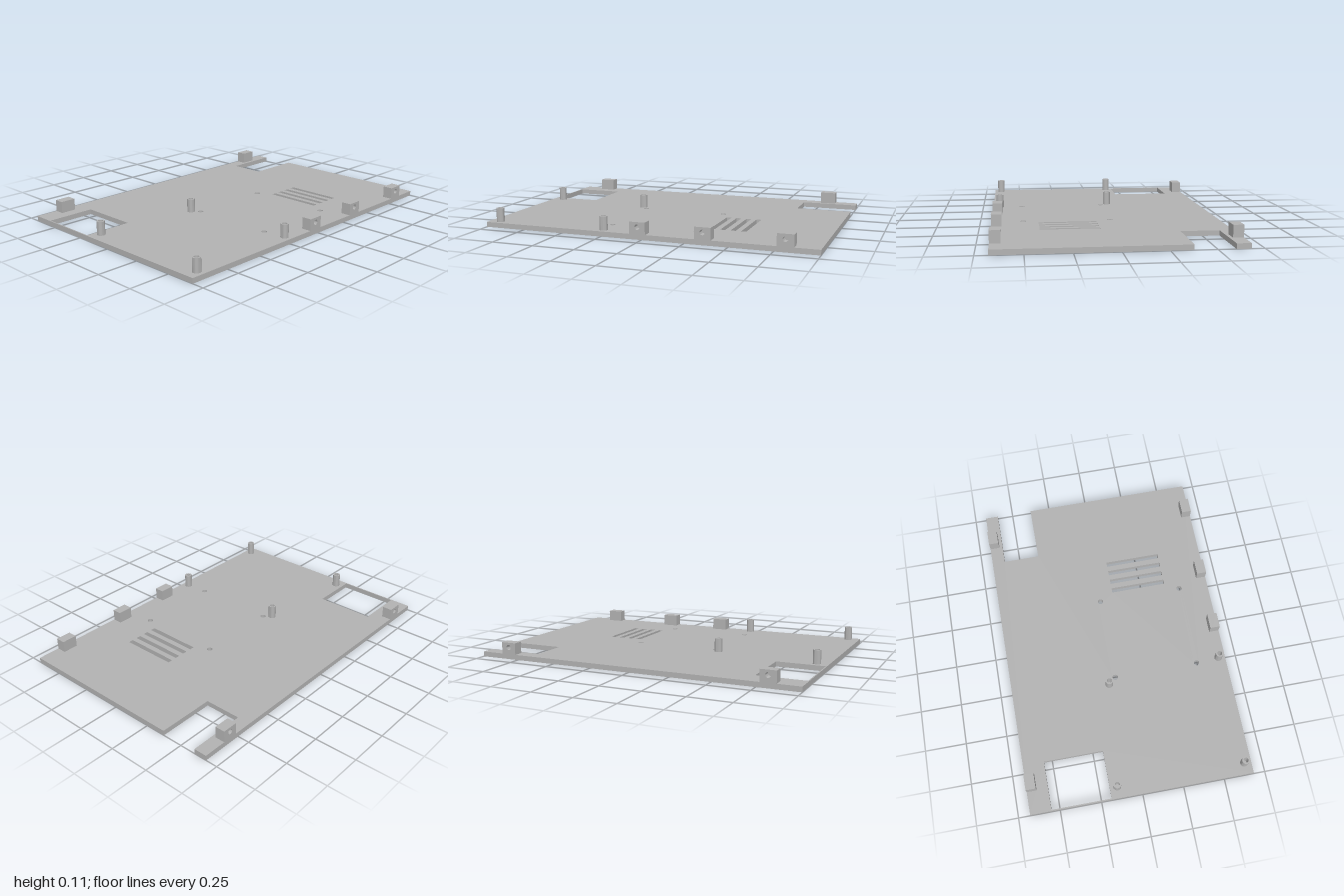
import * as THREE from 'three';
import { toCreasedNormals } from 'three/addons/utils/BufferGeometryUtils.js';

const PLATE = 0.03, HALF_Z = 0.678;

// Extrude a shape with crisp edges and smooth round walls
function extrude(shape, depth) {
  const g = new THREE.ExtrudeGeometry(shape, { depth, bevelEnabled: false, curveSegments: 20 });
  return toCreasedNormals(g, 0.6);
}

// Outline from x/y pairs
function polygon(points, Type = THREE.Path) {
  return new Type(points.map(([x, y]) => new THREE.Vector2(x, y)));
}

// Rectangle given in plan x/z; the shape's y is -z
function planRect(x0, z0, x1, z1) {
  return polygon([[x0, -z0], [x0, -z1], [x1, -z1], [x1, -z0]]);
}

function circle(x, y, r, Type = THREE.Path) {
  const c = new Type();
  c.absarc(x, y, r, 0, Math.PI * 2, false);
  return c;
}

export function createModel() {
  const model = new THREE.Group();
  model.name = 'mountingPlate';
  const grey = new THREE.MeshStandardMaterial({ color: 0xb2b2b2 });
  grey.name = 'grey';

  const add = (parent, name, geometry, x = 0, y = 0, z = 0) => {
    const mesh = new THREE.Mesh(geometry, grey);
    mesh.name = name;
    mesh.position.set(x, y, z);
    parent.add(mesh);
    return mesh;
  };

  // Base plate with a notch in its left edge
  const outline = polygon([
    [-1, -HALF_Z], [1, -HALF_Z], [1, 0.375], [0.657, 0.375],
    [0.657, 0.598], [1, 0.598], [1, HALF_Z], [-1, HALF_Z],
  ], THREE.Shape);

  // Large window, leaving a thin rim at the edge
  outline.holes.push(planRect(-0.993, -0.55, -0.703, -0.188));

  // Ventilation slots
  for (let i = 0; i < 4; i++) {
    const x = 0.31 + i * 0.0625;
    outline.holes.push(planRect(x, 0.06, x + 0.03, 0.403));
  }

  // Four screw holes
  for (const x of [-0.26, 0.26])
    for (const z of [-0.028, 0.492]) outline.holes.push(circle(x, -z, 0.017));

  add(model, 'basePlate', extrude(outline, PLATE).rotateX(-Math.PI / 2));

  // Hollow standoffs
  const ring = circle(0, 0, 0.0235, THREE.Shape);
  ring.holes.push(circle(0, 0, 0.0145));
  const postGeometry = extrude(ring, 0.082).rotateX(-Math.PI / 2);
  for (const [x, z] of [[-0.93, -0.143], [-0.298, -0.073], [-0.25, 0.634], [-0.93, 0.634]])
    add(model, 'standoff', postGeometry, x, PLATE, z);

  // Edge lugs, each with a blind screw hole facing outwards
  const w = 0.047, h = 0.07, depth = 0.045, back = 0.015;
  const face = polygon([[-w, 0], [w, 0], [w, h], [-w, h]], THREE.Shape);
  face.holes.push(circle(0, 0.041, 0.0155));
  const faceGeometry = extrude(face, depth);
  const backGeometry = new THREE.BoxGeometry(2 * w, h, back);

  const addLug = (x, side) => {
    const lug = new THREE.Group();
    lug.name = side > 0 ? 'frontLug' : 'backLug';
    add(lug, 'drilledBlock', faceGeometry, 0, 0, -depth);
    add(lug, 'blockBacking', backGeometry, 0, h / 2, -depth - back / 2);
    lug.position.set(x, PLATE, side * HALF_Z);
    if (side < 0) lug.rotation.y = Math.PI;
    model.add(lug);
  };
  for (const x of [-0.025, 0.357, 0.813]) addLug(x, 1);
  for (const x of [-0.817, 0.813]) addLug(x, -1);

  return model;
}
